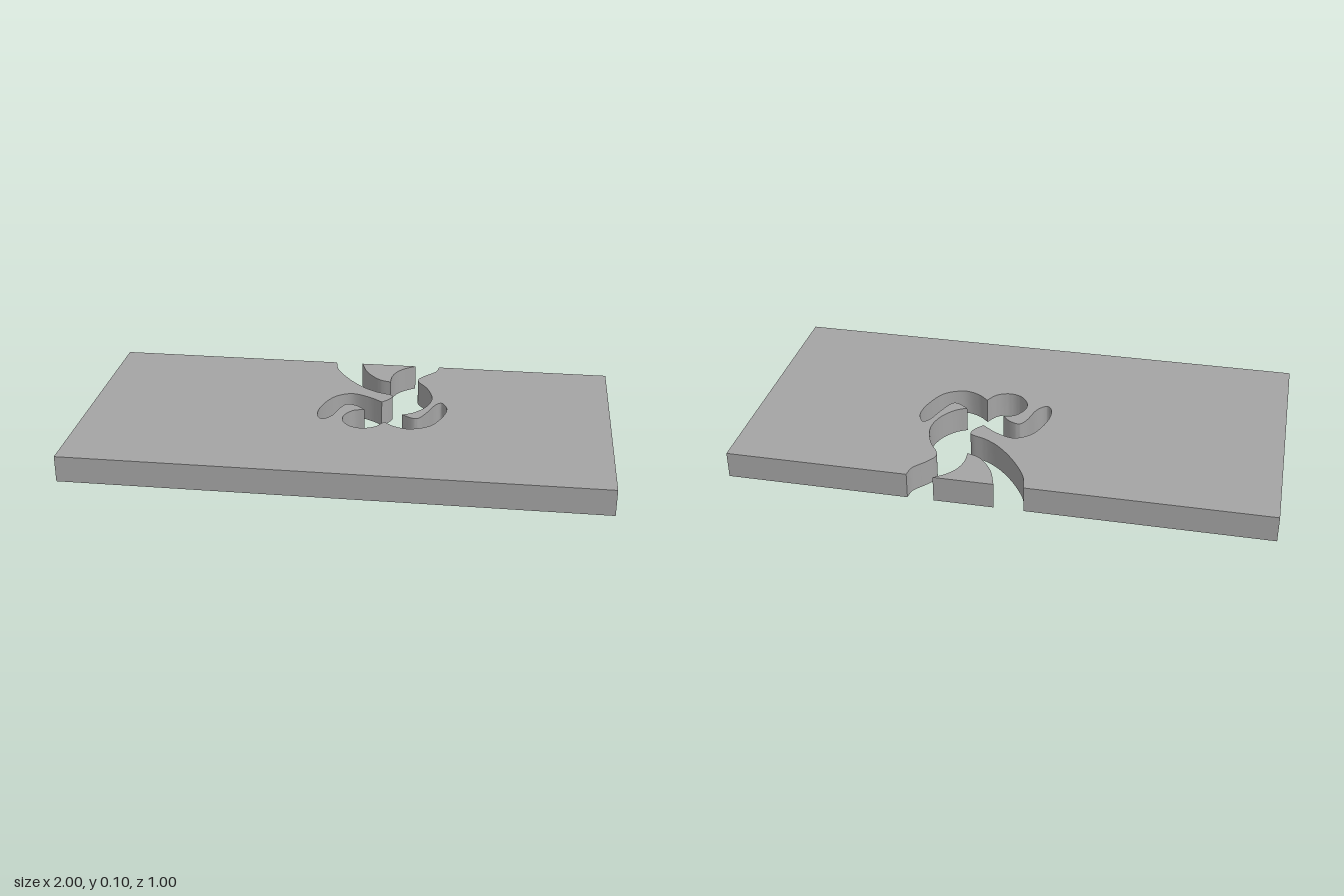
import * as THREE from 'three';
import { toCreasedNormals } from 'three/addons/utils/BufferGeometryUtils.js';

const THICKNESS = 0.1;
const material = new THREE.MeshStandardMaterial({ color: 0xa4a4a4 });

// Smooth runs of the cutout edge, [x, -z]; each run starts at the end of the one before, with a corner between
const legEdge = [[-0.09, 0.425], [-0.035, 0.335], [0.03, 0.262], [0.09, 0.22], [0.145, 0.2], [0.157, 0.183], [0.145, 0.153], [0.12, 0.125]];
const leftArm = [
  [0.065, 0.165], [-0.007, 0.19], [-0.07, 0.15], [-0.108, 0.06], [-0.114, -0.02], [-0.09, -0.056],
  [-0.055, -0.02], [-0.033, 0.055], [-0.01, 0.09], [0.03, 0.077], [0.062, 0.045],
];
const lobe = [[0.02, 0.033], [-0.011, -0.015], [-0.009, -0.065], [0.023, -0.107], [0.07, -0.12], [0.118, -0.1], [0.147, -0.055]];
const rightArm = [
  [0.19, -0.09], [0.25, -0.105], [0.322, -0.07], [0.364, 0.013], [0.377, 0.09], [0.355, 0.142],
  [0.33, 0.122], [0.307, 0.06], [0.28, 0], [0.255, -0.011], [0.21, 0.018],
];
const bodyEdge = [
  [0.254, 0.045], [0.297, 0.105], [0.313, 0.185], [0.288, 0.275], [0.25, 0.335],
  [0.246, 0.37], [0.272, 0.41], [0.31, 0.455], [0.319, 0.5],
];

const addRuns = (shape, runs) => {
  for (const run of runs) shape.splineThru(run.map(([x, y]) => new THREE.Vector2(x, y)));
};

// Extrudes a plan shape upward from the ground
function slab(name, shape) {
  const geometry = new THREE.ExtrudeGeometry(shape, { depth: THICKNESS, bevelEnabled: false, curveSegments: 6 });
  geometry.rotateX(-Math.PI / 2);
  const mesh = new THREE.Mesh(toCreasedNormals(geometry, Math.PI / 5), material);
  mesh.name = name;
  return mesh;
}

export function createModel() {
  const group = new THREE.Group();
  group.name = 'cutoutPlate';

  // Main plate, its back edge opened by the branching cutout
  const plate = new THREE.Shape();
  plate.moveTo(-1, -0.5);
  plate.lineTo(-1, 0.5);
  plate.lineTo(-0.108, 0.5);
  addRuns(plate, [legEdge, leftArm, lobe, rightArm, bodyEdge]);
  plate.lineTo(1, 0.5);
  plate.lineTo(1, -0.5);
  plate.closePath();
  group.add(slab('plate', plate));

  // Loose wedge left standing between the two channels at the back edge
  const wedge = new THREE.Shape();
  wedge.moveTo(0, 0.5);
  addRuns(wedge, [
    [[0.03, 0.415], [0.083, 0.347], [0.136, 0.323]],
    [[0.135, 0.375], [0.15, 0.428], [0.18, 0.468], [0.222, 0.5]],
  ]);
  wedge.closePath();
  group.add(slab('wedge', wedge));

  return group;
}
